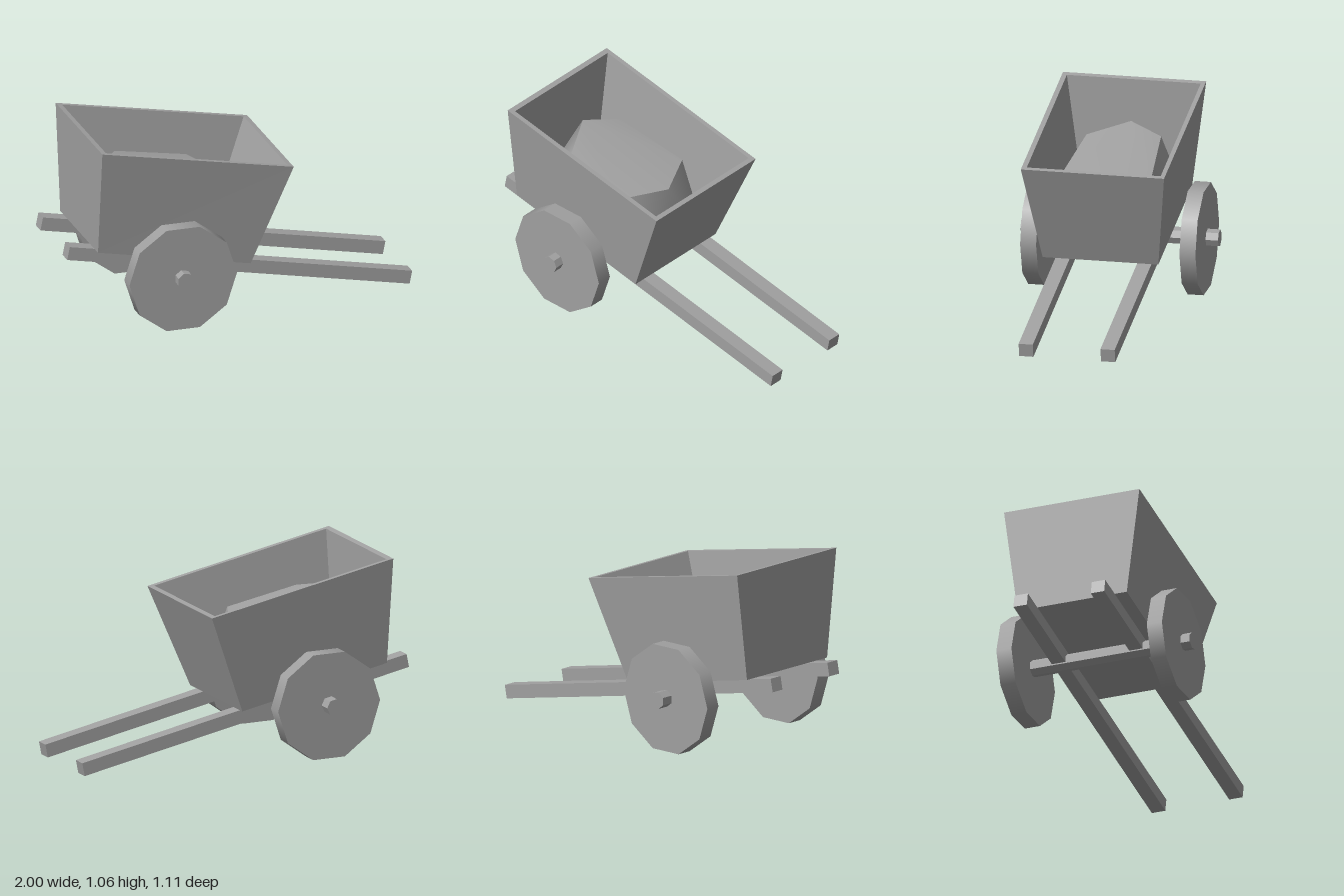
import * as THREE from 'three';
import { toCreasedNormals } from 'three/addons/utils/BufferGeometryUtils.js';
import { ConvexGeometry } from 'three/addons/geometries/ConvexGeometry.js';

const grey = new THREE.MeshStandardMaterial({ color: 0xa0a0a0 });
grey.name = 'plain grey';

function part(name, geometry, x = 0, y = 0, z = 0) {
  const mesh = new THREE.Mesh(geometry, grey);
  mesh.name = name;
  mesh.position.set(x, y, z);
  return mesh;
}

// Cylinder lying along z with one corner pointing to +x
function disc(radius, width, sides) {
  const g = new THREE.CylinderGeometry(radius, radius, width, sides);
  return g.rotateY(Math.PI / 2).rotateX(Math.PI / 2);
}

// Four corners, counterclockwise from above: y falls from yLeft to yRight
function ring(xLeft, xRight, yLeft, yRight, zBack, zFront) {
  return [
    [xLeft, yLeft, zFront], [xRight, yRight, zFront],
    [xRight, yRight, zBack], [xLeft, yLeft, zBack],
  ];
}

// Skin over successive rings, closed at both ends
function loft(rings) {
  const points = [];
  const quad = (a, b, c, d) => points.push(...a, ...b, ...c, ...a, ...c, ...d);
  for (let r = 0; r < rings.length - 1; r++) {
    const lower = rings[r], upper = rings[r + 1];
    for (let i = 0; i < 4; i++) {
      const j = (i + 1) % 4;
      quad(lower[i], lower[j], upper[j], upper[i]);
    }
  }
  quad(...[...rings[0]].reverse());
  quad(...rings[rings.length - 1]);
  const g = new THREE.BufferGeometry();
  g.setAttribute('position', new THREE.Float32BufferAttribute(points, 3));
  g.computeVertexNormals();
  return g;
}

export function createModel() {
  const cart = new THREE.Group();
  cart.name = 'handcart';

  // Tapered open tray: outside, rim, inside and floor
  cart.add(part('tray', loft([
    ring(-0.845, 0.04, 0.45, 0.274, -0.305, 0.345),
    ring(-0.845, 0.265, 1.06, 0.845, -0.385, 0.42),
    ring(-0.815, 0.237, 1.054, 0.85, -0.36, 0.392),
    ring(-0.815, 0.023, 0.475, 0.306, -0.282, 0.315),
  ])));

  // Faceted load resting on the sloping floor
  const floorY = (x) => 0.306 - 0.2 * (x - 0.023);
  const base = [[-0.81, 0], [-0.765, -0.265], [-0.02, -0.265],
    [0.02, 0], [-0.02, 0.3], [-0.77, 0.3]];
  const top = [[-0.67, 0.86, 0], [-0.57, 0.815, -0.19], [-0.14, 0.725, -0.23],
    [-0.03, 0.7, 0], [-0.15, 0.715, 0.27], [-0.55, 0.805, 0.225]];
  const corners = [
    ...base.map(([x, z]) => new THREE.Vector3(x, floorY(x), z)),
    ...top.map((p) => new THREE.Vector3(...p)),
  ];
  cart.add(part('load', toCreasedNormals(new ConvexGeometry(corners), 0.9)));

  // Sloping handle rails
  for (const [side, z] of [['left', 0.235], ['right', -0.225]]) {
    const rail = part(side + 'Handle', new THREE.BoxGeometry(2.024, 0.076, 0.08), 0, 0.24, z);
    rail.rotation.z = -0.1964;
    cart.add(rail);
  }

  // Ten-sided wheels with smooth treads
  for (const [side, z] of [['left', 0.455], ['right', -0.44]]) {
    cart.add(part(side + 'Wheel', disc(0.312, 0.09, 10), -0.403, 0.297, z));
  }

  // Faceted axle
  const axle = toCreasedNormals(disc(0.048, 1.11, 7), 0.5);
  cart.add(part('axle', axle, -0.405, 0.304, 0));

  return cart;
}
